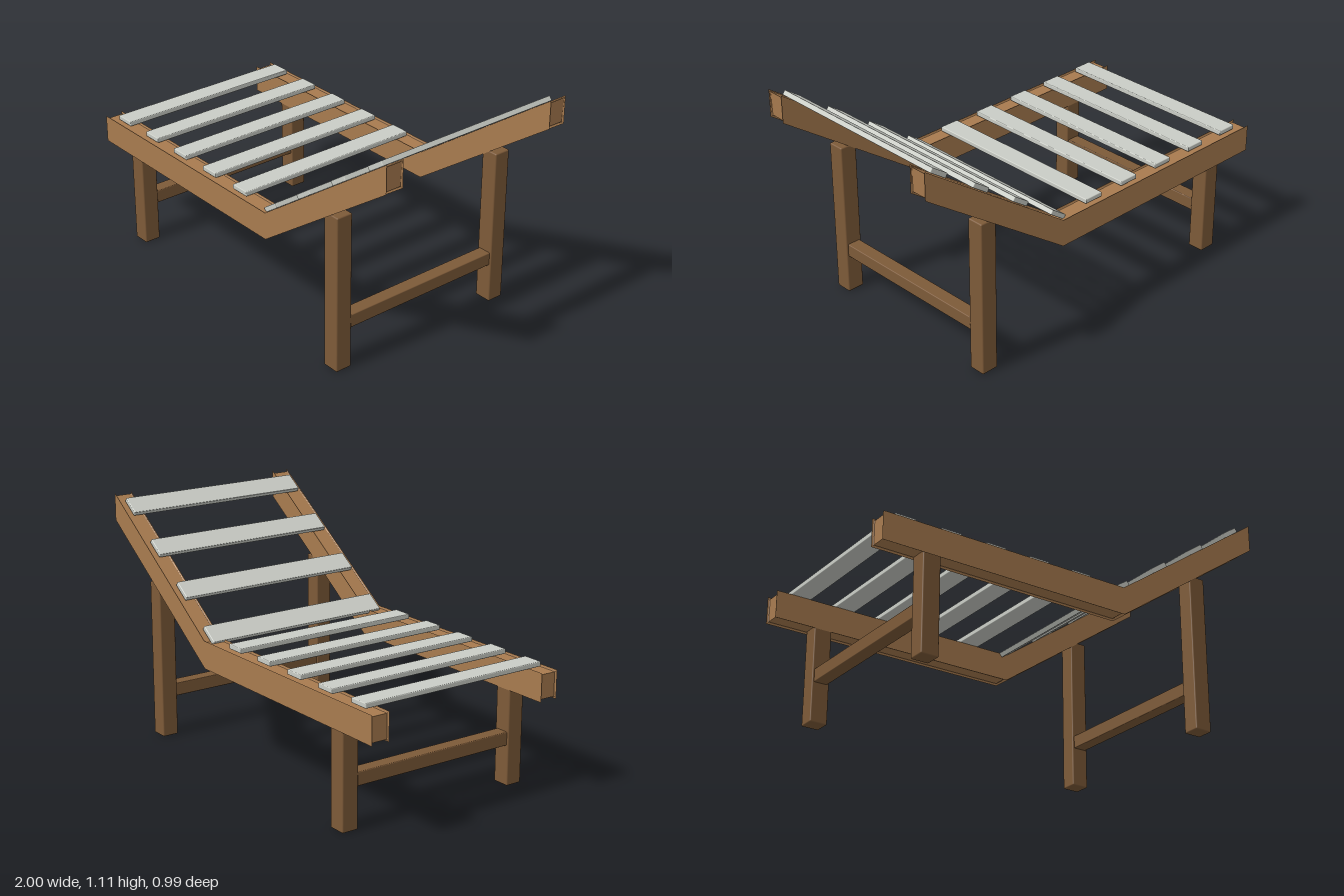
import * as THREE from 'three';
import { RoundedBoxGeometry } from 'three/addons/geometries/RoundedBoxGeometry.js';

export function createModel() {
  const group = new THREE.Group();
  group.name = 'sunLounger';

  const railWood = new THREE.MeshStandardMaterial({ color: 0xa87b4f });
  const legWood = new THREE.MeshStandardMaterial({ color: 0x7d5a38 });
  const slatPaint = new THREE.MeshStandardMaterial({ color: 0xcacdc6 });

  const slope = THREE.MathUtils.degToRad(35);
  const bendX = 0.23;
  const railTop = 0.572;
  const railZ = 0.45;

  function add(name, geometry, material, x, y, z, tilt = 0) {
    const mesh = new THREE.Mesh(geometry, material);
    mesh.name = name;
    mesh.position.set(x, y, z);
    mesh.rotation.z = tilt;
    group.add(mesh);
  }

  // Bent side rails: edges are recessed, so the side faces stand slightly proud
  const rise = (1 - bendX) * Math.tan(slope);
  const railBottom = railTop - 0.13;
  const profile = new THREE.Shape([
    [-1, railBottom], [bendX, railBottom], [1, railBottom + rise],
    [1, railTop + rise], [bendX, railTop], [-1, railTop],
  ].map(([x, y]) => new THREE.Vector2(x, y)));
  const railGeometry = new THREE.ExtrudeGeometry(profile, {
    depth: 0.078, bevelEnabled: true, bevelThickness: 0.004, bevelSize: -0.01, bevelSegments: 2,
  });
  railGeometry.translate(0, 0, -0.039);

  for (const [side, s] of [['left', 1], ['right', -1]]) {
    // The left of the model is its +x, so the rails are named by depth
    const end = side === 'left' ? 'front' : 'back';
    add(`${end}Rail`, railGeometry, railWood, 0, 0, s * railZ);

    // Short foot leg and tall headrest leg below each rail
    for (const [name, x, h] of [['footLeg', -0.76, 0.455], ['headLeg', 0.661, 0.745]]) {
      add(`${end}${name[0].toUpperCase()}${name.slice(1)}`,
        new RoundedBoxGeometry(0.084, h, 0.08, 2, 0.006), legWood, x, h / 2, s * 0.448);
    }
  }

  // Cross bars joining each pair of legs
  for (const [name, x] of [['footCrossBar', -0.76], ['headCrossBar', 0.661]]) {
    add(name, new RoundedBoxGeometry(0.066, 0.062, 0.83, 2, 0.004), legWood, x, 0.218, 0);
  }

  // Slats: five on the flat seat, four on the sloping backrest
  const slatGeometry = new RoundedBoxGeometry(0.098, 0.023, 0.936, 2, 0.004);
  for (let i = 0; i < 5; i++) {
    add(`seatSlat${i + 1}`, slatGeometry, slatPaint, -0.877 + i * 0.2235, 0.584, 0);
  }
  for (let i = 0; i < 4; i++) {
    const x = 0.236 + i * 0.2225;
    add(`backSlat${i + 1}`, slatGeometry, slatPaint, x, 0.591 + (x - 0.236) * Math.tan(slope), 0, slope);
  }

  return group;
}
